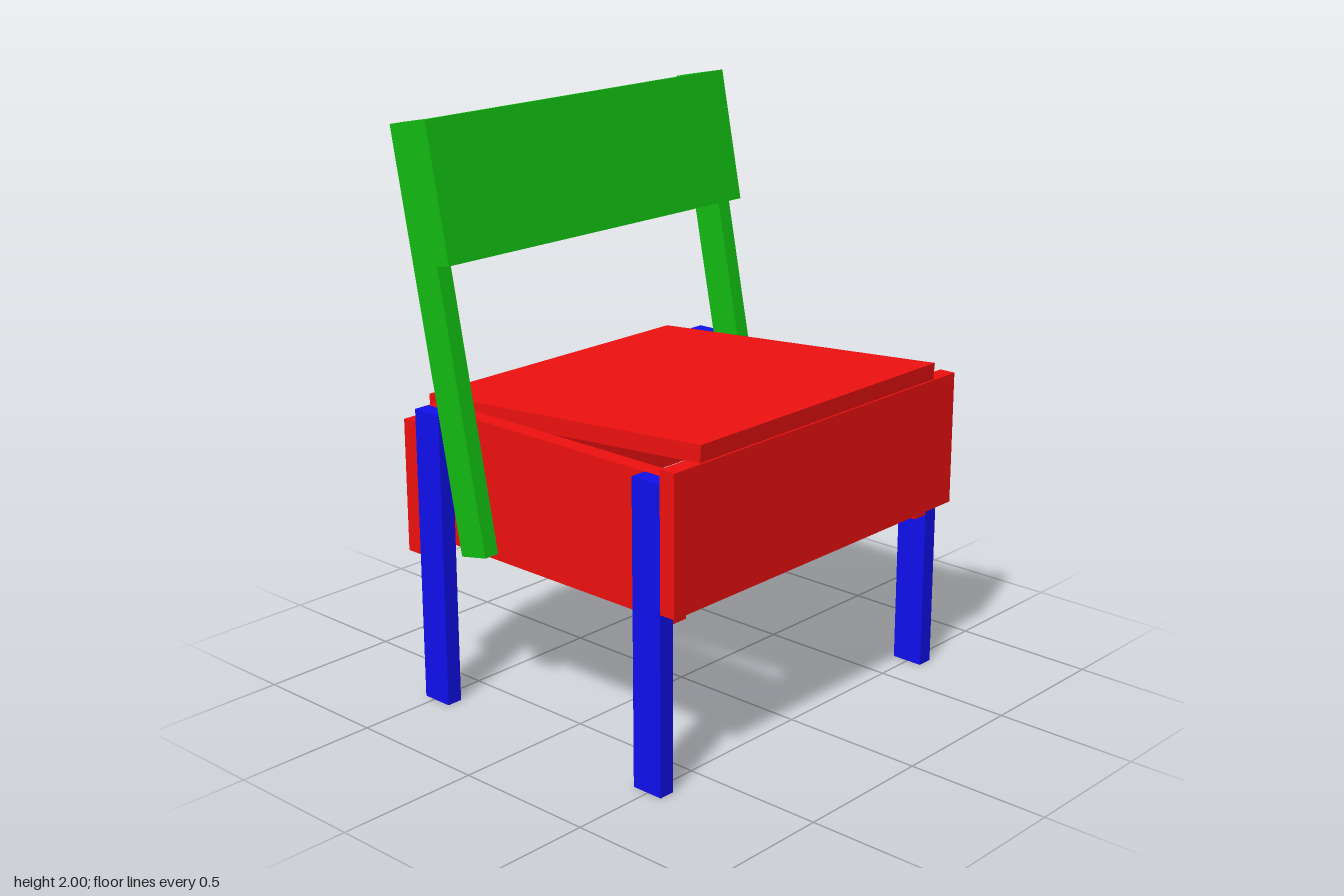
import * as THREE from 'three';

const red = new THREE.MeshStandardMaterial({ color: 0xf01010 });
const green = new THREE.MeshStandardMaterial({ color: 0x12bc12 });
const blue = new THREE.MeshStandardMaterial({ color: 0x1010f0 });

// Board given by its [min, max] extent on each axis
function board(name, material, [x0, x1], [y0, y1], [z0, z1]) {
  const mesh = new THREE.Mesh(new THREE.BoxGeometry(x1 - x0, y1 - y0, z1 - z0), material);
  mesh.position.set((x0 + x1) / 2, (y0 + y1) / 2, (z0 + z1) / 2);
  mesh.name = name;
  return mesh;
}

// Slanted board: side outline of [z, y] points, extruded across x
function slantedBoard(name, material, [x0, x1], outline) {
  const shape = new THREE.Shape(outline.map(([z, y]) => new THREE.Vector2(z, y)));
  const geometry = new THREE.ExtrudeGeometry(shape, { depth: x1 - x0, bevelEnabled: false });
  geometry.rotateY(-Math.PI / 2).translate(x1, 0, 0);
  const mesh = new THREE.Mesh(geometry, material);
  mesh.name = name;
  return mesh;
}

export function createModel() {
  const chair = new THREE.Group();
  chair.name = 'chair';
  const inner = 0.585, mid = 0.645, outer = 0.702;

  // Front and back aprons, the back one set lower
  chair.add(board('frontApron', red, [-outer, outer], [0.615, 1.08], [0.555, 0.613]));
  chair.add(board('backApron', red, [-outer, outer], [0.52, 0.985], [-0.602, -0.544]));

  // Sloping seat
  chair.add(slantedBoard('seat', red, [-inner, inner],
    [[0.61, 1.082], [0.614, 1.14], [-0.607, 1.044], [-0.603, 0.987]]));

  // Parts repeated on each side
  for (const [side, s] of [['left', 1], ['right', -1]]) {
    const span = (a, b) => (s > 0 ? [a, b] : [-b, -a]);
    chair.add(board(`${side}Apron`, red, span(inner, mid), [0.567, 1.032], [-0.544, 0.555]));
    chair.add(board(`${side}FrontLeg`, blue, span(mid, outer), [0, 1.032], [0.44, 0.555]));
    chair.add(board(`${side}BackLeg`, blue, span(mid, outer), [0, 1.032], [-0.544, -0.43]));
    chair.add(slantedBoard(`${side}BackPost`, green, span(mid, outer),
      [[-0.222, 0.59], [-0.5, 1.989], [-0.614, 1.966], [-0.335, 0.567]]));
  }

  // Backrest board in front of the posts
  chair.add(slantedBoard('backrest', green, [-outer, outer],
    [[-0.353, 1.544], [-0.444, 2], [-0.5, 1.989], [-0.409, 1.533]]));

  return chair;
}
